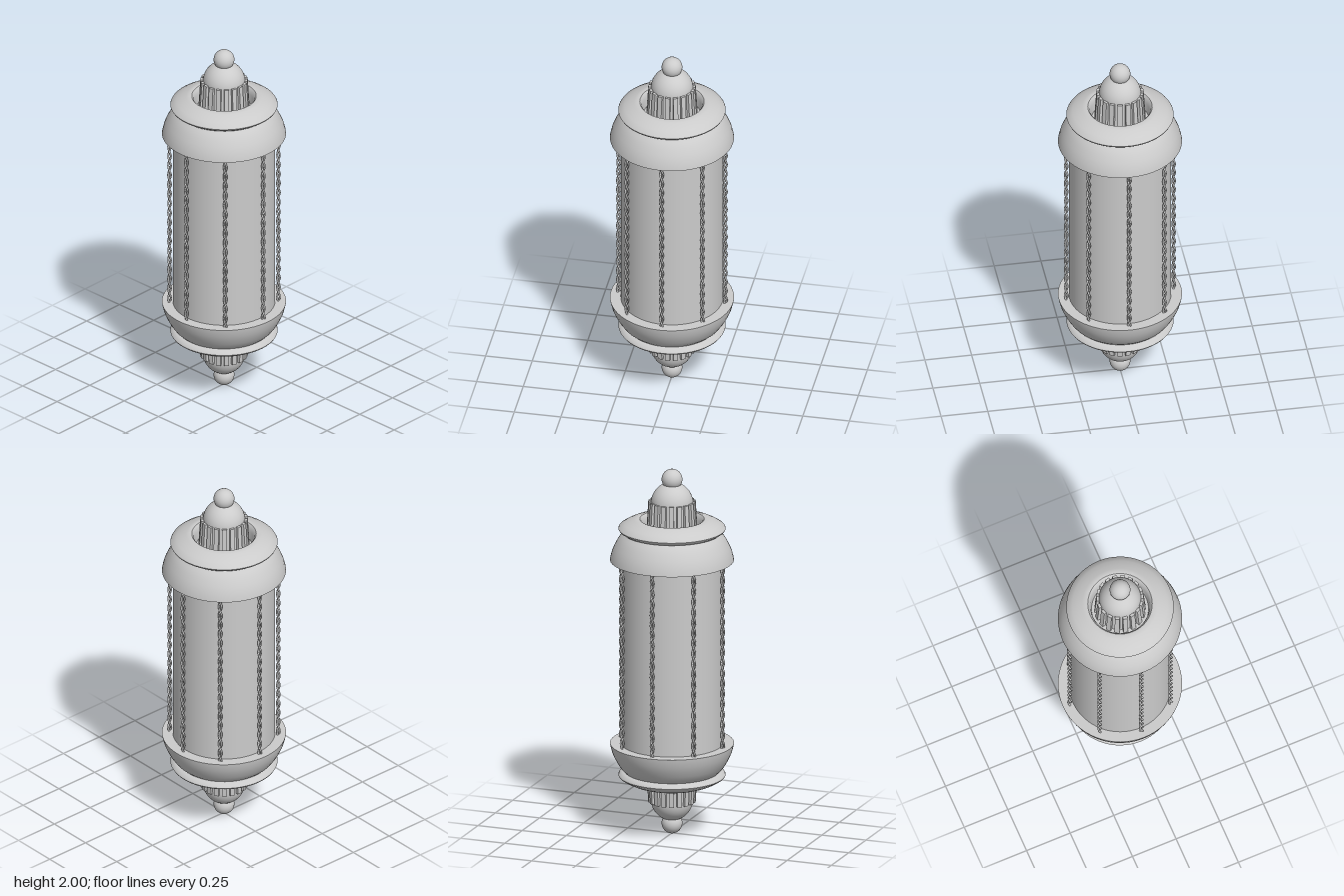
import * as THREE from 'three';
import { toCreasedNormals } from 'three/addons/utils/BufferGeometryUtils.js';

const material = new THREE.MeshStandardMaterial({ color: 0xcccccc });

function addMesh(parent, name, geometry) {
  const mesh = new THREE.Mesh(geometry, material);
  mesh.name = name;
  parent.add(mesh);
  return mesh;
}

// Turned part: profile runs with its outer side on the right
function turned(profile, segments = 64) {
  const points = profile.map(([r, y]) => new THREE.Vector2(r, y));
  return toCreasedNormals(new THREE.LatheGeometry(points, segments), 0.6);
}

class Helix extends THREE.Curve {
  constructor(radius, height, turns, phase) {
    super();
    Object.assign(this, { radius, height, turns, phase });
  }
  getPoint(t, target = new THREE.Vector3()) {
    const a = this.phase + t * this.turns * Math.PI * 2;
    return target.set(this.radius * Math.cos(a), (t - 0.5) * this.height, this.radius * Math.sin(a));
  }
}

// One end of the lantern, measured upward from the middle of the body
function createEnd(name) {
  const end = new THREE.Group();
  end.name = name;

  addMesh(end, 'bowl', turned([
    [0.25, 0.503], [0.327, 0.503], [0.325, 0.515], [0.316, 0.55],
    [0.303, 0.58], [0.287, 0.61], [0.268, 0.638], [0.24, 0.665],
  ]));

  // Collar with a round recess in its middle
  addMesh(end, 'collar', turned([
    [0.24, 0.655], [0.262, 0.657], [0.279, 0.669], [0.283, 0.677], [0.279, 0.684],
    [0.25, 0.702], [0.225, 0.714], [0.2, 0.723], [0.18, 0.729], [0.17, 0.727],
    [0.162, 0.718], [0.155, 0.695], [0.15, 0.65], [0, 0.65],
  ]));

  // Ribbed neck
  const neck = addMesh(end, 'neck', new THREE.CylinderGeometry(0.111, 0.118, 0.18, 48));
  neck.position.y = 0.73;
  const ribShape = new THREE.BoxGeometry(0.025, 0.176, 0.024);
  const ribs = 18;
  for (let i = 0; i < ribs; i++) {
    const pivot = new THREE.Group();
    pivot.rotation.y = (i / ribs) * Math.PI * 2;
    const rib = addMesh(pivot, 'neckRib', ribShape);
    rib.position.set(0, 0.737, 0.118);
    rib.rotation.x = -0.06;
    end.add(pivot);
  }

  const dome = addMesh(end, 'dome', new THREE.SphereGeometry(0.111, 48, 16, 0, Math.PI * 2, 0, Math.PI / 2));
  dome.position.y = 0.815;
  const ball = addMesh(end, 'finialBall', new THREE.SphereGeometry(0.055, 32, 20));
  ball.position.y = 0.945;
  return end;
}

export function createModel() {
  const model = new THREE.Group();
  model.name = 'lantern';

  const body = addMesh(model, 'body', new THREE.CylinderGeometry(0.27, 0.27, 1.02, 64));
  body.position.y = 1;

  // Twisted rods around the body, two strands each
  const strands = [0, Math.PI].map(
    (phase) => new THREE.TubeGeometry(new Helix(0.007, 1.02, 9, phase), 108, 0.0055, 6)
  );
  for (let i = 0; i < 8; i++) {
    const a = (i * Math.PI) / 4;
    const rod = new THREE.Group();
    rod.name = 'twistedRod';
    rod.position.set(0.287 * Math.sin(a), 1, 0.287 * Math.cos(a));
    rod.rotation.y = a;
    strands.forEach((g) => addMesh(rod, 'strand', g));
    model.add(rod);
  }

  // Matching ends, the lower one turned upside down
  const top = createEnd('topEnd');
  const bottom = createEnd('bottomEnd');
  bottom.rotation.x = Math.PI;
  for (const end of [top, bottom]) {
    end.position.y = 1;
    model.add(end);
  }
  return model;
}
